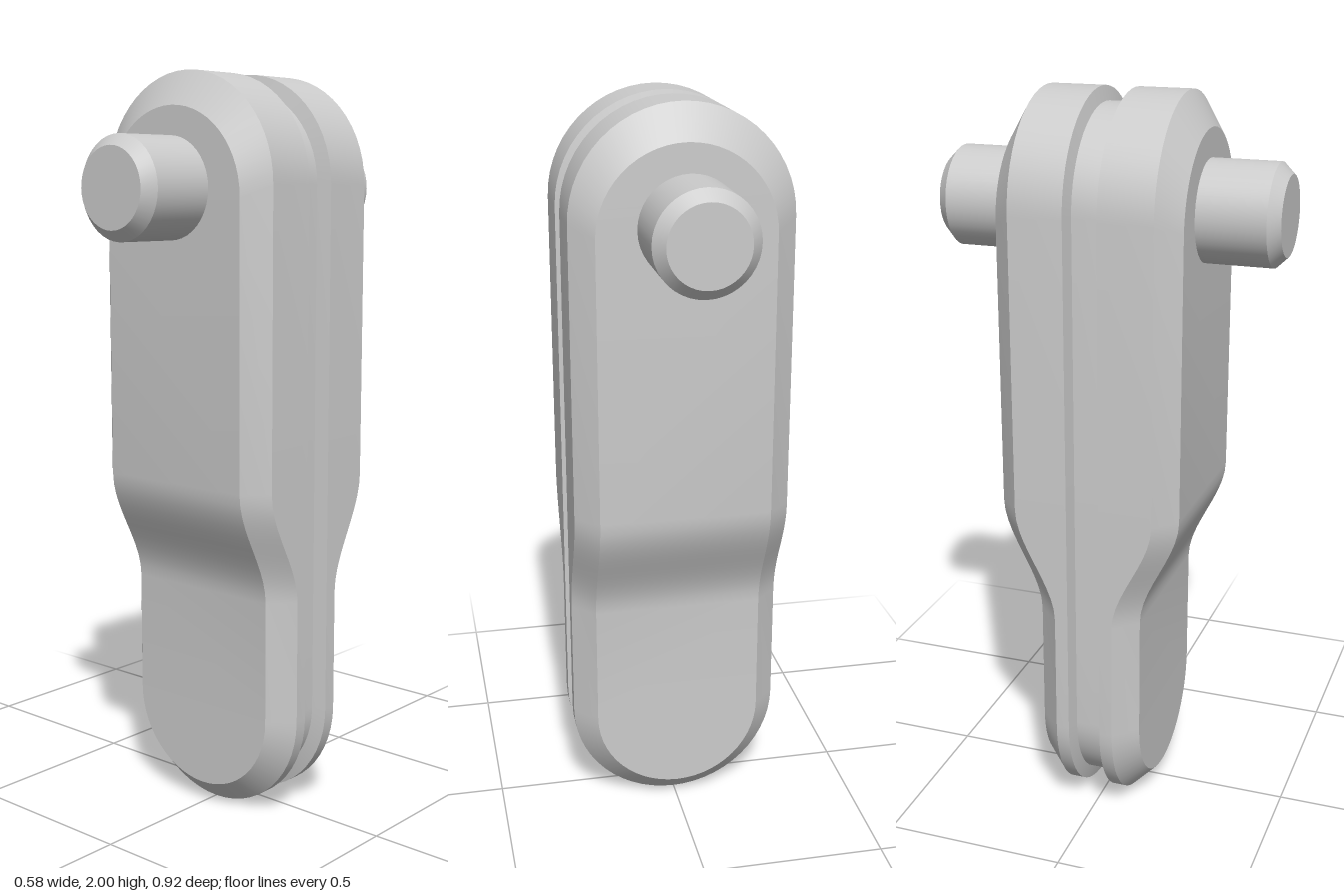
import * as THREE from 'three';
import { toCreasedNormals } from 'three/addons/utils/BufferGeometryUtils.js';

const RADIUS = 0.29, TOP = 1.71, BOTTOM = 0.29, ARC = 14, BEND = 10;
const BEND_LOW = 0.62, BEND_HIGH = 0.93;

// Right half of the rounded outline, apex to foot
function halfOutline(inset, topDrop) {
  const r = RADIUS - inset, pts = [];
  for (let i = 0; i <= ARC; i++) {
    const a = (i / ARC) * Math.PI / 2;
    pts.push([r * Math.sin(a), TOP - topDrop + r * Math.cos(a)]);
  }
  for (let i = 0; i <= BEND; i++) pts.push([r, THREE.MathUtils.lerp(BEND_HIGH, BEND_LOW, i / BEND)]);
  for (let i = 0; i <= ARC; i++) {
    const a = (i / ARC) * Math.PI / 2;
    pts.push([r * Math.cos(a), BOTTOM - r * Math.sin(a)]);
  }
  pts[0][0] = pts[pts.length - 1][0] = 0;
  return pts;
}

// Closed ring whose depth steps smoothly from the thin foot to the thick head
function ring({ inset, drop = 0, low, high, side }) {
  const half = halfOutline(inset, drop);
  const mirrored = half.slice(1, -1).reverse().map(([x, y]) => [-x, y]);
  return [...half, ...mirrored].map(([x, y]) => {
    const t = THREE.MathUtils.smoothstep(y, BEND_LOW, BEND_HIGH);
    return [x, y, side * THREE.MathUtils.lerp(low, high, t)];
  });
}

function bodyGeometry() {
  // Face edge, bevel edge, groove lip, groove floor
  const section = [
    { inset: 0.06, drop: 0.03, low: 0.141, high: 0.247 },
    { inset: 0, low: 0.081, high: 0.19 },
    { inset: 0, low: 0.045, high: 0.045 },
    { inset: 0.038, low: 0.035, high: 0.035 },
  ];
  const rings = [
    ...section.map((s) => ring({ ...s, side: 1 })),
    ...section.slice().reverse().map((s) => ring({ ...s, side: -1 })),
  ];
  const n = rings[0].length, last = (rings.length - 1) * n, index = [];
  for (let k = 0; k < rings.length - 1; k++) {
    for (let i = 0; i < n; i++) {
      const j = (i + 1) % n, a = k * n + i, b = k * n + j, c = b + n, d = a + n;
      index.push(a, b, c, a, c, d);
    }
  }
  // Front and back faces, stitched across in rows
  for (let i = 0; i < n / 2; i++) {
    const a = i, b = i + 1, la = (n - i) % n, lb = n - i - 1;
    if (lb !== b) index.push(la, lb, b, last + la, last + b, last + lb);
    if (la !== a) index.push(la, b, a, last + la, last + a, last + b);
  }
  const geo = new THREE.BufferGeometry();
  geo.setAttribute('position', new THREE.Float32BufferAttribute(rings.flat(2), 3));
  geo.setIndex(index);
  return toCreasedNormals(geo, 0.45);
}

export function createModel() {
  const group = new THREE.Group();
  const material = new THREE.MeshStandardMaterial({ color: 0xcccccc });

  const body = new THREE.Mesh(bodyGeometry(), material);
  body.name = 'groovedBody';
  group.add(body);

  // Bevelled cross pin running through the head
  const profile = [[0, -0.458], [0.104, -0.458], [0.133, -0.428], [0.133, 0.428], [0.104, 0.458], [0, 0.458]]
    .map(([x, y]) => new THREE.Vector2(x, y));
  const pinGeo = toCreasedNormals(new THREE.LatheGeometry(profile, 40), 0.45);
  const pin = new THREE.Mesh(pinGeo, material);
  pin.name = 'crossPin';
  pin.rotation.x = Math.PI / 2;
  pin.position.set(-0.007, 1.702, 0);
  group.add(pin);

  return group;
}
